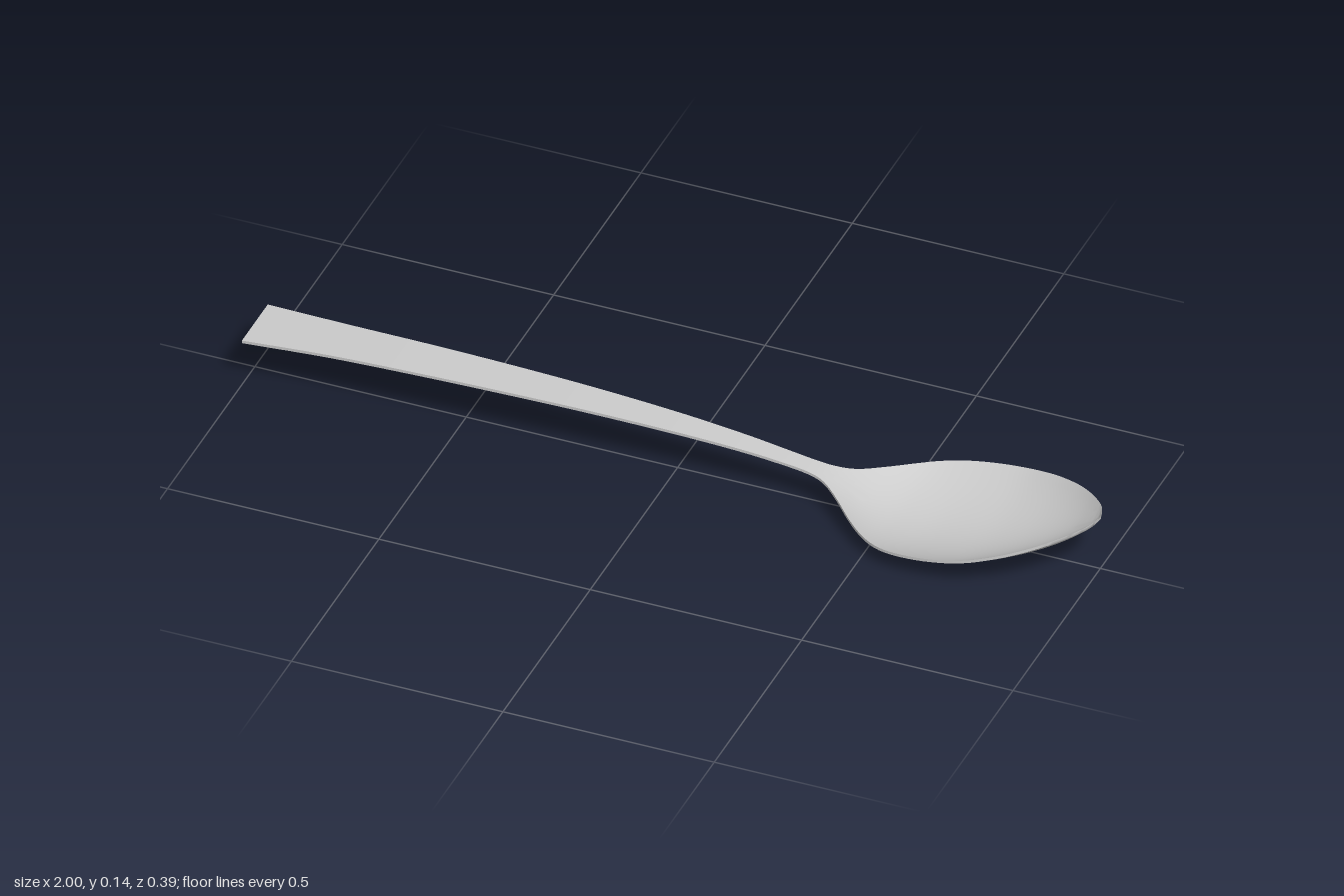
import * as THREE from 'three';
import { toCreasedNormals } from 'three/addons/utils/BufferGeometryUtils.js';

// Stations along the spoon: x, half width, underside at the centre, underside at the edge
const STATIONS = [
  [-1, 0.074, 0.111, 0.111], [-0.8, 0.062, 0.118, 0.118], [-0.6, 0.056, 0.122, 0.122],
  [-0.4, 0.05, 0.123, 0.123], [-0.2, 0.043, 0.121, 0.121], [0, 0.035, 0.114, 0.114],
  [0.15, 0.028, 0.104, 0.104], [0.25, 0.024, 0.093, 0.093], [0.32, 0.024, 0.083, 0.083],
  [0.36, 0.033, 0.072, 0.073], [0.4, 0.06, 0.052, 0.058], [0.45, 0.108, 0.025, 0.046],
  [0.5, 0.15, 0.009, 0.041], [0.55, 0.178, 0.002, 0.043], [0.61, 0.193, 0, 0.05],
  [0.68, 0.197, 0.005, 0.059], [0.75, 0.19, 0.015, 0.07], [0.82, 0.169, 0.032, 0.086],
  [0.88, 0.139, 0.053, 0.101], [0.93, 0.103, 0.077, 0.114], [0.97, 0.063, 0.103, 0.124],
  [0.99, 0.034, 0.119, 0.129], [1, 0.002, 0.131, 0.131],
];
const THICKNESS = 0.007;
const ACROSS = 20;
const ALONG = (STATIONS.length - 1) * 4;

// Closed shell lofted through thin cross-sections with a parabolic dish
function spoonGeometry() {
  const smooth = (pick) => new THREE.CatmullRomCurve3(
    STATIONS.map((s) => new THREE.Vector3(...pick(s))), false, 'catmullrom', 0.5);
  const outline = smooth(([x, w, y]) => [x, y, w]);
  const rim = smooth(([x, , , y]) => [x, y, 0]);
  const positions = [];
  const indices = [];
  const ring = 2 * (ACROSS + 1);
  const quad = (a, b, c, d) => indices.push(a, b, d, b, c, d);

  for (let i = 0; i <= ALONG; i++) {
    const p = outline.getPoint(i / ALONG);
    const edgeY = rim.getPoint(i / ALONG).y;
    for (let j = 0; j < ring; j++) {
      const top = j <= ACROSS;
      const s = ((top ? j : ring - 1 - j) / ACROSS) * 2 - 1;
      const y = p.y + (edgeY - p.y) * s * s + (top ? THICKNESS : 0);
      positions.push(p.x, y, s * p.z);
    }
  }
  for (let i = 0; i < ALONG; i++) {
    for (let j = 0; j < ring; j++) {
      const k = (j + 1) % ring;
      quad(i * ring + j, i * ring + k, (i + 1) * ring + k, (i + 1) * ring + j);
    }
  }
  // Handle end and tip caps
  const last = ALONG * ring;
  for (let j = 0; j < ACROSS; j++) {
    const under = ring - 1 - j;
    quad(j, under, under - 1, j + 1);
    quad(last + j, last + j + 1, last + under - 1, last + under);
  }

  const geometry = new THREE.BufferGeometry();
  geometry.setAttribute('position', new THREE.Float32BufferAttribute(positions, 3));
  geometry.setIndex(indices);
  return toCreasedNormals(geometry, Math.PI / 4);
}

export function createModel() {
  const group = new THREE.Group();
  group.name = 'spoon';
  const body = new THREE.Mesh(spoonGeometry(), new THREE.MeshStandardMaterial({ color: 0xcccccc }));
  body.name = 'handleAndBowl';
  group.add(body);
  return group;
}
